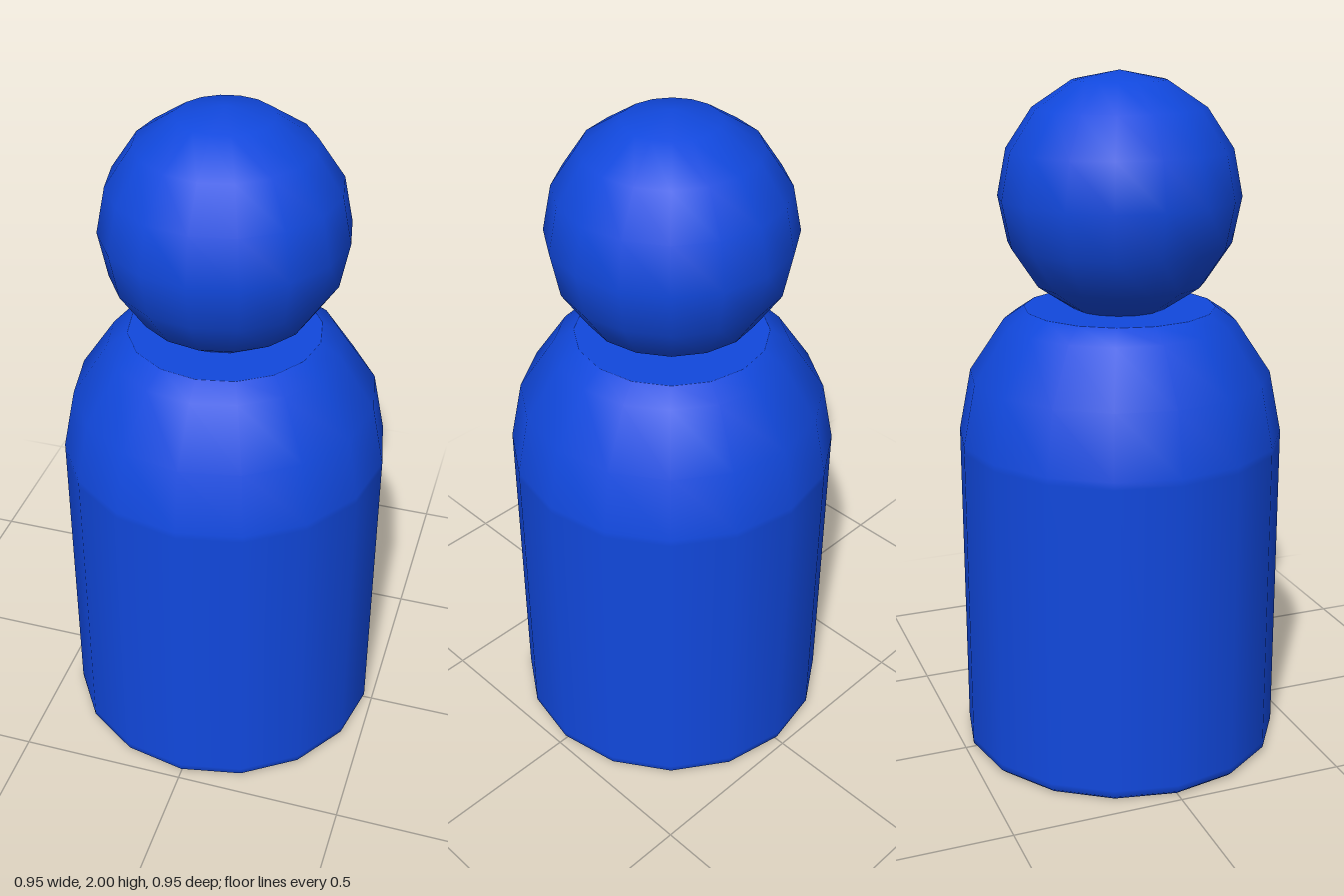
import * as THREE from 'three';

const SIDES = 16;
const BODY_R = 0.475, SHOULDER_Y = 0.96, TOP_Y = 1.335;
const HEAD_R = 0.347;

export function createModel() {
  const group = new THREE.Group();
  const blue = new THREE.MeshStandardMaterial({ color: 0x1148dd });

  const add = (name, geometry, y = 0) => {
    const mesh = new THREE.Mesh(geometry, blue);
    mesh.name = name;
    mesh.position.y = y;
    group.add(mesh);
    return mesh;
  };

  // Body: straight sides with a softened foot, then a faceted dome cut off flat
  const profile = [[0, 0], [0.462, 0], [BODY_R, 0.012], [BODY_R, 0.03], [BODY_R, 0.94]];
  for (let i = 0; i < 3; i++) {
    const a = (i * Math.PI) / 8;
    profile.push([BODY_R * Math.cos(a), SHOULDER_Y + BODY_R * Math.sin(a)]);
  }
  const rimR = 0.277;
  profile.push([rimR, TOP_Y]);
  add('body', new THREE.LatheGeometry(profile.map(([x, y]) => new THREE.Vector2(x, y)), SIDES));

  // Flat top of the shoulders
  add('shoulderTop', new THREE.CircleGeometry(rimR, SIDES).rotateX(-Math.PI / 2), TOP_Y);

  // Head: low-poly ball sunk slightly into the shoulders
  add('head', new THREE.SphereGeometry(HEAD_R, SIDES, SIDES / 2), 2 - HEAD_R);

  return group;
}
